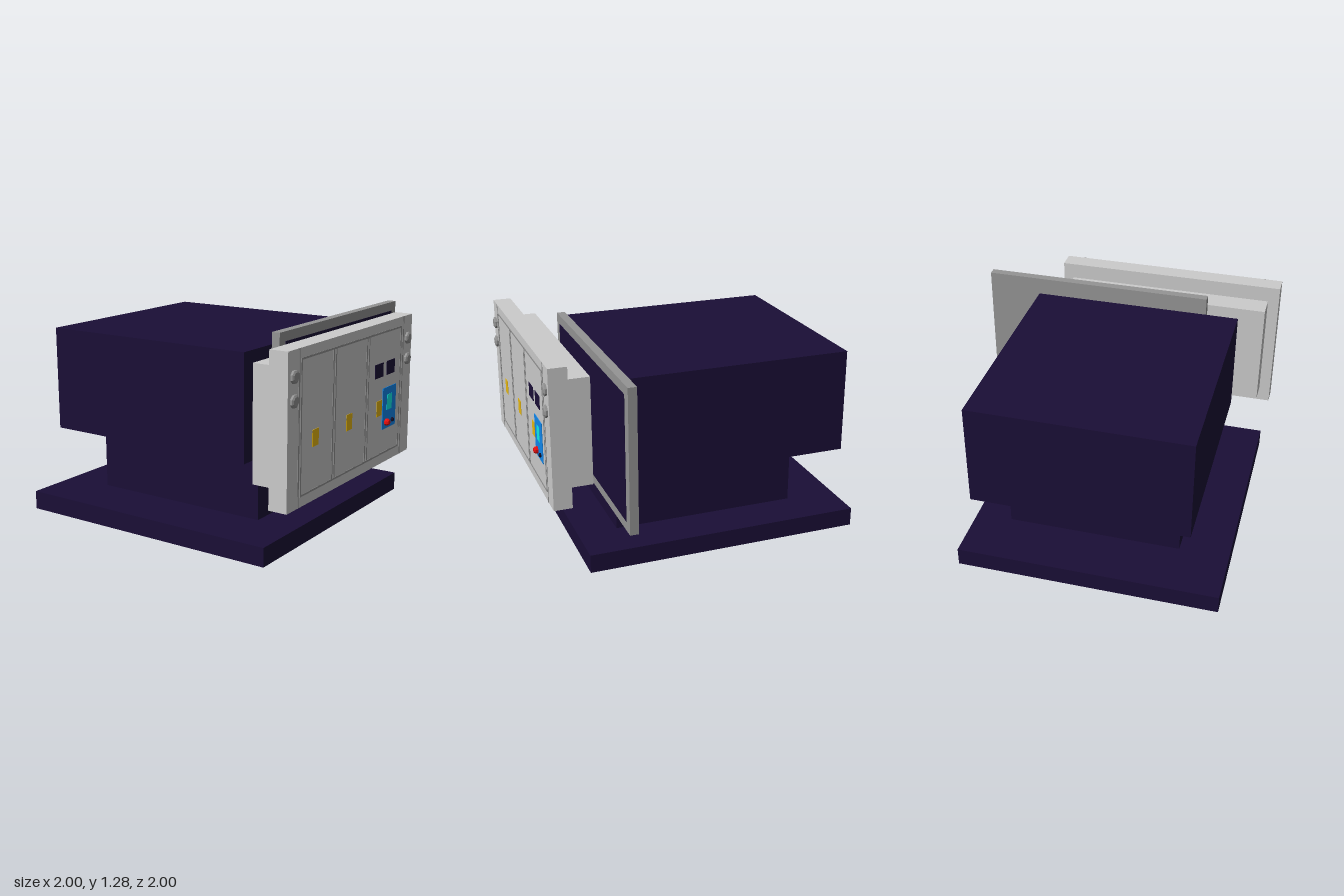
import * as THREE from 'three';

const mat = (color) => new THREE.MeshStandardMaterial({ color, flatShading: true });

export function createModel() {
  const model = new THREE.Group();
  const navy = mat(0x1a0e36), grey = mat(0xcccccc), darkGrey = mat(0x949494);
  const yellow = mat(0xe8b810), blue = mat(0x1088ee), cyan = mat(0x10eeea);
  const red = mat(0xe81010), black = mat(0x14102a);

  // Box given by its extents on each axis
  function box(name, material, [x0, x1], [y0, y1], [z0, z1], parent = model) {
    const mesh = new THREE.Mesh(new THREE.BoxGeometry(x1 - x0, y1 - y0, z1 - z0), material);
    mesh.position.set((x0 + x1) / 2, (y0 + y1) / 2, (z0 + z1) / 2);
    mesh.name = name;
    parent.add(mesh);
    return mesh;
  }

  // Machine body on its base plate
  box('basePlate', navy, [-1, 0.8], [0, 0.12], [-0.73, 0.97]);
  box('pedestal', navy, [-0.65, 0.555], [0.14, 0.975], [-0.485, 0.65]);
  box('mainHousing', navy, [-0.95, 0.53], [0.52, 1.195], [-0.63, 0.765]);

  // Rear plate with its dark inset face
  box('backFrame', darkGrey, [0.575, 0.63], [0.365, 1.285], [-1, 0.54]);
  box('backFrameInset', navy, [0.62, 0.632], [0.425, 1.225], [-0.935, 0.475]);

  // Control cabinet
  const cabinet = new THREE.Group();
  cabinet.name = 'controlCabinet';
  model.add(cabinet);
  box('cabinetBack', grey, [0.695, 0.85], [0.47, 1.18], [-0.475, 0.925], cabinet);
  box('cabinetFront', grey, [0.85, 0.97], [0.365, 1.285], [-0.545, 1], cabinet);

  // Thin plates lying on the cabinet's face
  const plate = (name, material, y, z, lift = 0.002) =>
    box(name, material, [0.965, 0.97 + lift], y, z, cabinet);

  // Seams between the doors and around them
  const w = 0.006;
  for (const z of [0.88, -0.42]) plate('sideSeam', darkGrey, [0.365, 1.285], [z - w, z + w]);
  for (const z of [0.855, 0.495, 0.467, 0.08, 0.052, -0.389])
    plate('doorSeam', darkGrey, [0.425, 1.228], [z - w, z + w]);
  for (const y of [0.431, 1.222]) plate('doorSeam', darkGrey, [y - w, y + w], [-0.395, 0.861]);

  // Door handles, windows and control screen
  for (const z of [0.695, 0.292, -0.105])
    plate('doorHandle', yellow, [0.69, 0.79], [z - 0.035, z + 0.035], 0.003);
  for (const z of [-0.09, -0.25])
    plate('displayWindow', navy, [0.94, 1.03], [z - 0.056, z + 0.056], 0.003);
  plate('controlPanel', blue, [0.59, 0.86], [-0.335, -0.15], 0.004);
  plate('controlScreen', cyan, [0.71, 0.81], [-0.275, -0.207], 0.006);

  // Chamfered octagonal knob pointing out of the face
  function knob(name, material, radius, depth, y, z) {
    const profile = [[radius, 0], [radius, depth * 0.65], [radius * 0.7, depth], [0, depth]]
      .map(([r, h]) => new THREE.Vector2(r, h));
    const mesh = new THREE.Mesh(new THREE.LatheGeometry(profile, 8, Math.PI / 8), material);
    mesh.rotation.z = -Math.PI / 2;
    mesh.position.set(0.97, y, z);
    mesh.name = name;
    cabinet.add(mesh);
  }
  for (const z of [0.94, -0.482])
    for (const y of [1.137, 1.0]) knob('cornerBolt', darkGrey, 0.039, 0.02, y, z);
  knob('stopButton', red, 0.023, 0.03, 0.632, -0.2);
  knob('selectorButton', black, 0.014, 0.018, 0.632, -0.285);

  return model;
}
